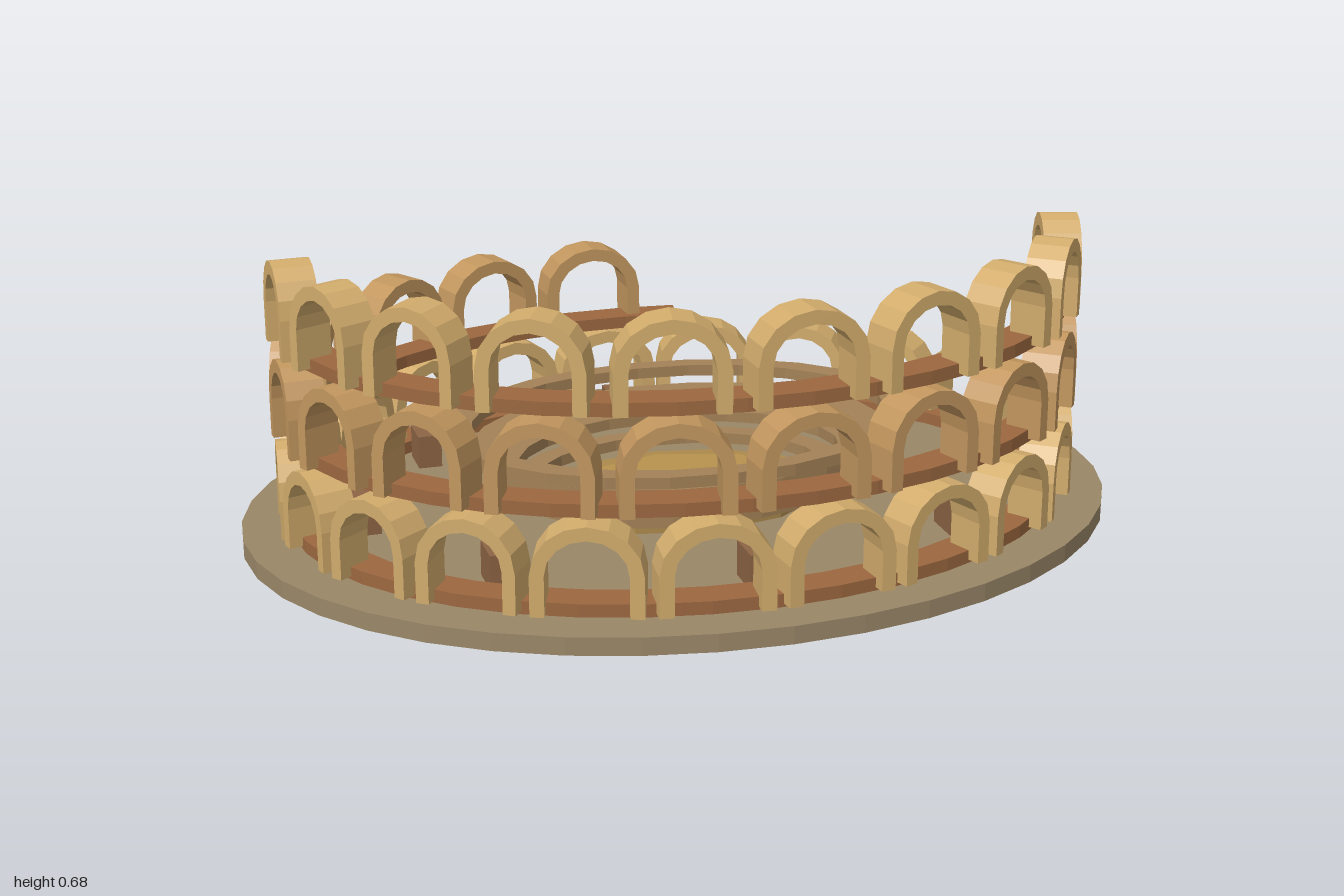
import * as THREE from 'three';

const RX = 0.872, RZ = 0.66; // centre line of the arcades
const rad = THREE.MathUtils.degToRad;
const paint = (color) => new THREE.MeshStandardMaterial({ color, flatShading: true });
const stone = paint(0xd2ac6c), warmStone = paint(0xc2965e), brick = paint(0x9c6840);
const ground = paint(0x9a8768), seatStone = paint(0xa38156), sand = paint(0xb8934e);
const darkSand = paint(0xac8a4c), blockMat = paint(0x8c6444);

function add(parent, name, geometry, material) {
  const mesh = new THREE.Mesh(geometry, material);
  mesh.name = name;
  parent.add(mesh);
  return mesh;
}

// Solid oval slab from y0 to y1
function ovalDisc(parent, name, rx, rz, y0, y1, sides, material) {
  const geo = new THREE.CylinderGeometry(1, 1, y1 - y0, sides);
  geo.scale(rx, 1, rz).translate(0, (y0 + y1) / 2, 0);
  return add(parent, name, geo, material);
}

// Oval band, full or partial, between an inner and an outer ellipse
function ovalBand(parent, name, [ix, iz], [ox, oz], y0, y1, from, to, sides, material) {
  const full = to - from >= 360;
  const ellipse = (rx, rz, reverse) => {
    const pts = [];
    for (let i = 0; i <= sides - (full ? 1 : 0); i++) {
      const t = rad(from + ((to - from) * i) / sides);
      pts.push(new THREE.Vector2(rx * Math.cos(t), rz * Math.sin(t)));
    }
    return reverse ? pts.reverse() : pts;
  };
  let shape;
  if (full) {
    shape = new THREE.Shape(ellipse(ox, oz));
    shape.holes.push(new THREE.Path(ellipse(ix, iz, true)));
  } else {
    shape = new THREE.Shape([...ellipse(ox, oz), ...ellipse(ix, iz, true)]);
  }
  const geo = new THREE.ExtrudeGeometry(shape, { depth: y1 - y0, bevelEnabled: false });
  geo.rotateX(Math.PI / 2).translate(0, y1, 0);
  return add(parent, name, geo, material);
}

// Arch of unit width standing on y = 0, facing +z
function archGeometry() {
  const spring = 0.09, steps = 8, depth = 0.085;
  const curve = (hw, rise) => {
    const pts = [new THREE.Vector2(hw, 0)];
    for (let i = 0; i <= steps; i++) {
      const t = (Math.PI * i) / steps;
      pts.push(new THREE.Vector2(hw * Math.cos(t), spring + rise * Math.sin(t)));
    }
    pts.push(new THREE.Vector2(-hw, 0));
    return pts;
  };
  const shape = new THREE.Shape([...curve(0.5, 0.108), ...curve(0.37, 0.078).reverse()]);
  const geo = new THREE.ExtrudeGeometry(shape, { depth, bevelEnabled: false });
  return geo.translate(0, 0, -depth / 2);
}

// Row of arches following the oval, each as wide as its share of the curve
function arcade(parent, name, y, start, step, count, fill, material) {
  const row = new THREE.Group();
  row.name = name;
  const geo = archGeometry();
  for (let i = 0; i < count; i++) {
    const t = rad(start + step * i), c = Math.cos(t), s = Math.sin(t);
    const arch = add(row, 'arch', geo, material);
    arch.position.set(RX * c, y, RZ * s);
    arch.rotation.y = Math.atan2(c / RX, s / RZ);
    arch.scale.x = fill * Math.hypot(RX * s, RZ * c);
  }
  parent.add(row);
}

export function createModel() {
  const model = new THREE.Group();
  model.name = 'amphitheatre';

  ovalDisc(model, 'base', 1, 0.775, 0, 0.04, 40, ground);

  // Three storeys of walkway and arcade; the upper two are broken off
  const storeys = [
    { name: 'lower', y: 0.04, from: 0, to: 360, start: -90, step: 360 / 21, count: 21, fill: 0.28, mat: stone },
    { name: 'middle', y: 0.256, from: 13, to: 282, start: 12.7, step: 18.2, count: 15, fill: 0.275, mat: warmStone },
    { name: 'upper', y: 0.47, from: 13, to: 194, start: 12.7, step: 18.35, count: 10, fill: 0.275, mat: stone },
  ];
  for (const s of storeys) {
    const sides = Math.round((s.to - s.from) / 9);
    ovalBand(model, s.name + 'Walkway', [0.815, 0.603], [0.89, 0.68], s.y, s.y + 0.029, s.from, s.to, sides, brick);
    arcade(model, s.name + 'Arcade', s.y + 0.008, s.start, s.step, s.count, s.fill, s.mat);
  }

  // Stepped seating rings, lowest on the inside
  const rings = [
    [[0.337, 0.243], [0.395, 0.285], 0.07],
    [[0.375, 0.27], [0.435, 0.315], 0.115],
    [[0.41, 0.297], [0.485, 0.352], 0.16],
    [[0.482, 0.35], [0.545, 0.395], 0.205],
  ];
  for (const [inner, outer, y] of rings) {
    ovalBand(model, 'seatingRing', inner, outer, y, y + 0.026, 0, 360, 24, seatStone);
  }

  // Arena floor
  ovalDisc(model, 'arenaEdge', 0.34, 0.245, 0.035, 0.055, 12, darkSand);
  ovalDisc(model, 'arenaFloor', 0.27, 0.197, 0.04, 0.065, 8, sand);

  // Loose blocks around the seating
  const block = new THREE.BoxGeometry(0.055, 0.08, 0.09);
  for (let i = 0; i < 8; i++) {
    const t = (i * Math.PI) / 4;
    add(model, 'block', block, blockMat).position.set(0.73 * Math.cos(t), 0.078, 0.535 * Math.sin(t));
  }
  return model;
}
